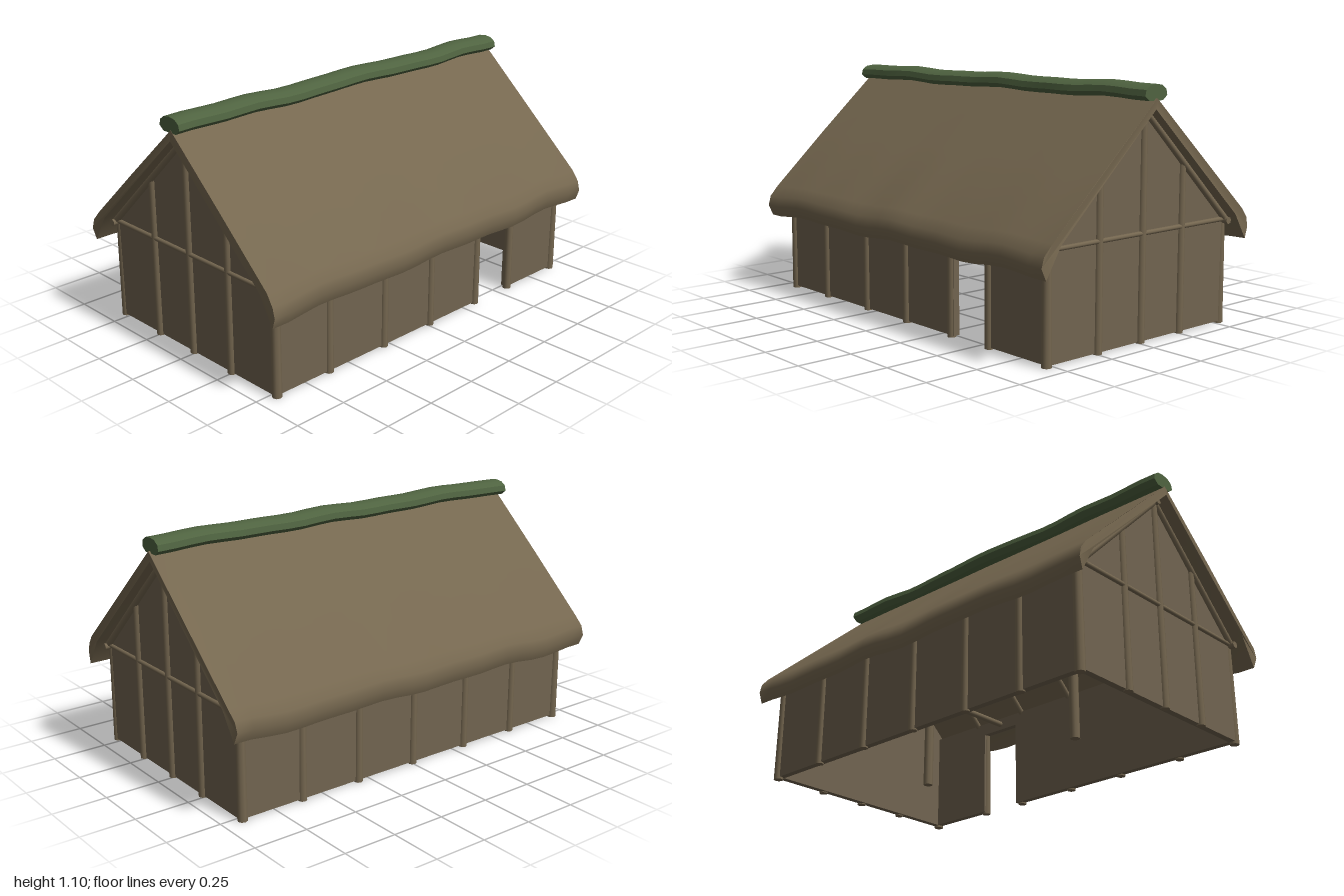
import * as THREE from 'three';
import { toCreasedNormals } from 'three/addons/utils/BufferGeometryUtils.js';

const material = (name, color) => {
  const m = new THREE.MeshStandardMaterial({ color });
  m.name = name;
  return m;
};

export function createModel() {
  const hut = new THREE.Group();
  hut.name = 'thatchedHut';
  const thatch = material('thatch', 0x75674f);
  const daub = material('daub', 0x716450);
  const timber = material('timber', 0x756750);
  const moss = material('moss', 0x4f6340);

  const add = (name, geometry, mat) => {
    const mesh = new THREE.Mesh(geometry, mat);
    mesh.name = name;
    hut.add(mesh);
    return mesh;
  };

  // Outline in (z, y) swept along x, then bent by a rule
  const sweep = (points, x0, x1, steps, bend) => {
    const shape = new THREE.Shape(points.map(([z, y]) => new THREE.Vector2(z, y)));
    const g = new THREE.ExtrudeGeometry(shape, { depth: x1 - x0, steps, bevelEnabled: false });
    g.rotateY(Math.PI / 2);
    g.translate(x0, 0, 0);
    if (!bend) return g;
    const p = g.attributes.position;
    const v = new THREE.Vector3();
    for (let i = 0; i < p.count; i++) {
      v.fromBufferAttribute(p, i);
      bend(v);
      p.setXYZ(i, v.x, v.y, v.z);
    }
    return toCreasedNormals(g, 0.65);
  };

  // Round pole between two points
  const pole = (name, a, b, r = 0.018, taper = 0.9) => {
    const from = new THREE.Vector3(...a), to = new THREE.Vector3(...b);
    const g = new THREE.CylinderGeometry(r * taper, r, from.distanceTo(to), 8);
    const mesh = add(name, g, timber);
    mesh.position.copy(from).add(to).multiplyScalar(0.5);
    mesh.quaternion.setFromUnitVectors(new THREE.Vector3(0, 1, 0), to.sub(from).normalize());
  };

  const box = (name, x0, x1, y0, y1, z0, z1) => {
    const mesh = add(name, new THREE.BoxGeometry(x1 - x0, y1 - y0, z1 - z0), daub);
    mesh.position.set((x0 + x1) / 2, (y0 + y1) / 2, (z0 + z1) / 2);
  };

  // Thatch: thick slopes with drooping, uneven eaves
  const half = [[0.53, 0.505], [0.605, 0.38], [0.625, 0.43], [0.613, 0.475], [0.575, 0.52], [0.3, 0.77]];
  const mirrored = half.map(([z, y]) => [-z, y]).reverse();
  add('thatchRoof', sweep([[0, 0.995], ...half, [0, 1.04], ...mirrored], -0.995, 0.99, 24, (v) => {
    const side = Math.sign(v.z);
    const eave = THREE.MathUtils.smoothstep(Math.abs(v.z), 0.52, 0.61);
    const wave = Math.sin(v.x * 9 + side) + 0.6 * Math.sin(v.x * 17 + 2 * side);
    v.y += 0.006 * eave * wave;
    v.z += 0.003 * side * eave * Math.sin(v.x * 13 + side);
    if (Math.abs(v.x) > 0.98) v.x += 0.005 * Math.sin(v.y * 25);
  }), thatch);

  // Mossy ridge roll
  const roll = [[0.04, 1.032], [0.066, 1.052], [0.06, 1.078], [0.035, 1.095], [0, 1.1],
    [-0.035, 1.095], [-0.06, 1.078], [-0.066, 1.052], [-0.04, 1.032]];
  add('mossRidge', sweep(roll, -0.99, 0.985, 24, (v) => {
    v.y += 0.004 * Math.sin(v.x * 9 + 1) + 0.002 * Math.sin(v.x * 19);
    v.z += 0.006 * Math.sin(v.x * 6 + 4.5) + 0.003 * Math.sin(v.x * 15);
  }), moss);

  // Long walls, the front one with a doorway
  const base = 0.015, top = 0.49;
  box('backWall', -0.91, 0.91, base, top, -0.535, -0.505);
  box('frontWallRight', -0.91, 0.345, base, top, 0.505, 0.535);
  box('frontWallLeft', 0.56, 0.91, base, top, 0.505, 0.535);
  box('doorLintel', 0.345, 0.56, 0.43, top, 0.505, 0.535);

  // Gable walls and their timber framing
  const gable = [[-0.535, base], [0.535, base], [0.535, top], [0, 0.99], [-0.535, top]];
  for (const s of [-1, 1]) {
    const x = s * 0.91;
    add('gableWall', sweep(gable, x - 0.015, x + 0.015, 1), daub);
    for (const [z, y] of [[0.255, 0.755], [0, 1.0], [-0.245, 0.765]]) {
      pole('gablePost', [x + s * 0.012, 0.01, z], [x + s * 0.012, y, z], 0.02);
    }
    pole('gableRail', [x + s * 0.018, 0.478, -0.53], [x + s * 0.018, 0.478, 0.53], 0.011);
    for (const z of [-0.535, 0.535]) {
      pole('gableRafter', [x + s * 0.02, 0.475, z], [x + s * 0.02, 0.985, 0], 0.016);
      pole('cornerPost', [x, 0.005, z * 0.985], [x, 0.49, z * 0.985], 0.022);
    }
  }

  // Wall posts
  for (const x of [-0.62, -0.29, 0.01, 0.325, 0.57]) {
    pole('frontPost', [x, 0.008, 0.53], [x, 0.49, 0.53], 0.02);
  }
  for (const x of [-0.61, -0.31, 0, 0.31, 0.61]) {
    pole('backPost', [x, 0.008, -0.53], [x, 0.49, -0.53], 0.02);
    // Inner rafters
    for (const z of [-0.52, 0.52]) pole('innerRafter', [x, 0.48, z], [x, 0.975, 0], 0.014);
  }

  // Ridge beam, wall plates, inner posts and tie beams
  pole('ridgeBeam', [-0.955, 0.985, 0], [0.955, 0.985, 0], 0.018, 1);
  for (const z of [-0.53, 0.53]) pole('wallPlate', [-0.955, 0.472, z], [0.955, 0.472, z], 0.016, 1);
  for (const x of [-0.45, 0.45]) {
    pole('innerPost', [x, 0.005, 0], [x, 0.98, 0], 0.022);
    pole('tieBeam', [x, 0.46, -0.52], [x, 0.46, 0.52], 0.015, 1);
  }

  return hut;
}
